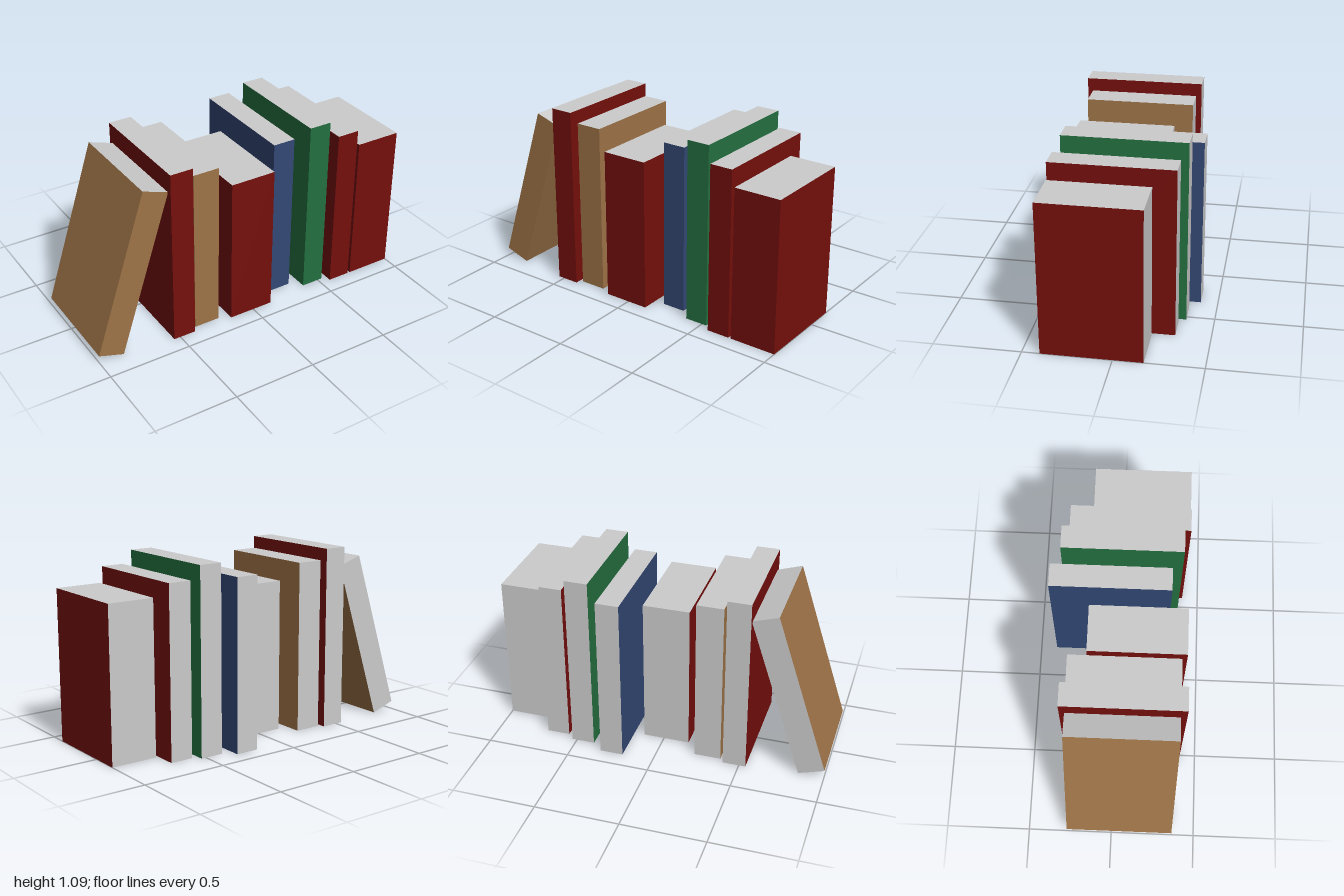
import * as THREE from 'three';

const RED = 0x75100d, TAN = 0x9e7347, BLUE = 0x334875, GREEN = 0x247040;

// Upright books: name, colour, left x, right x, height, back z, front z
const BOOKS = [
  ['tallRedBook', RED, -0.54, -0.402, 1.085, -0.30, 0.40],
  ['tanBook', TAN, -0.38, -0.22, 1.016, -0.27, 0.365],
  ['thickRedBookMiddle', RED, -0.155, 0.124, 0.904, -0.17, 0.40],
  ['blueBook', BLUE, 0.188, 0.326, 1.007, -0.40, 0.30],
  ['greenBook', GREEN, 0.391, 0.529, 1.085, -0.34, 0.362],
  ['thinRedBook', RED, 0.566, 0.703, 1.0, -0.30, 0.40],
  ['thickRedBookEnd', RED, 0.72, 1.0, 0.904, -0.17, 0.40],
];

const pages = new THREE.MeshStandardMaterial({ color: 0xcccccc, flatShading: true });

// Covers and spine are coloured; top, bottom and fore edge show the pages
function book(name, color, x0, x1, height, z0, z1) {
  const cover = new THREE.MeshStandardMaterial({ color, flatShading: true });
  const geometry = new THREE.BoxGeometry(x1 - x0, height, z1 - z0);
  geometry.translate((x0 + x1) / 2, height / 2, (z0 + z1) / 2);
  const mesh = new THREE.Mesh(geometry, [cover, cover, pages, pages, cover, pages]);
  mesh.name = name;
  return mesh;
}

export function createModel() {
  const group = new THREE.Group();
  group.name = 'bookRow';
  for (const spec of BOOKS) group.add(book(...spec));

  // Leaning book pivots on its lower edge and rests against the row
  const leaning = book('leaningTanBook', TAN, -0.16, 0, 1.016, -0.27, 0.365);
  leaning.position.x = -0.848;
  leaning.rotation.z = -0.313;
  group.add(leaning);
  return group;
}
